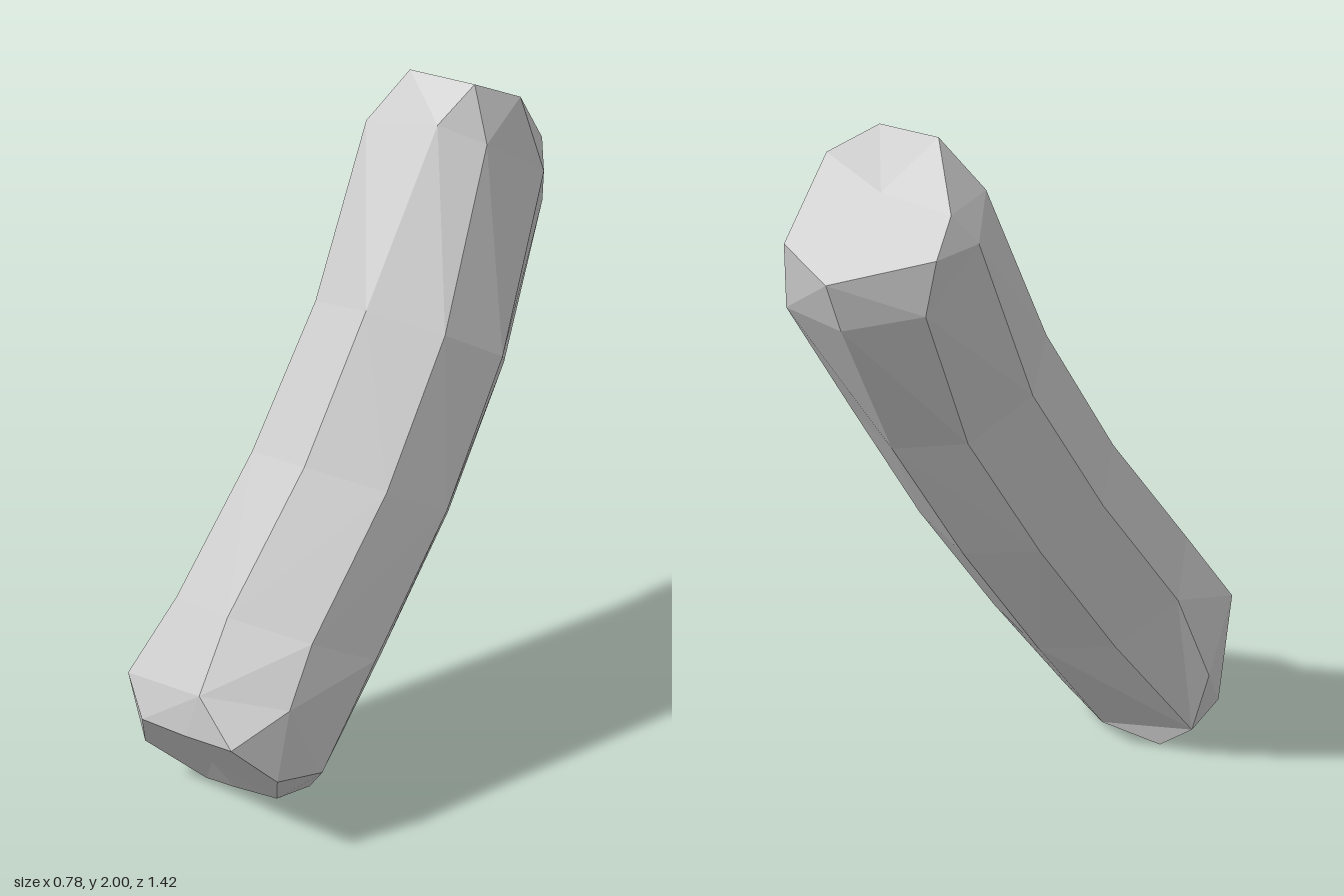
import * as THREE from 'three';

const SIDES = 8;

// Octagonal cross-section of the leaning bar: s runs up its length, n points out of its front
function ring({ s, x, n, rx, rn }) {
  return Array.from({ length: SIDES }, (_, k) => {
    const a = (k / SIDES) * Math.PI * 2;
    const out = n + Math.sin(a) * rn;
    return [x + Math.cos(a) * rx, 0.54 * out + 0.84 * s, 0.84 * out - 0.54 * s];
  });
}

const centroid = (pts) => [0, 1, 2].map((i) => pts.reduce((t, p) => t + p[i], 0) / pts.length);

// Distance from a point to the middle of an edge
const reach = (from, p, q) => Math.hypot(...from.map((v, i) => (p[i] + q[i]) / 2 - v));

export function createModel() {
  const group = new THREE.Group();
  group.name = 'curvedStone';
  const stone = new THREE.MeshStandardMaterial({ color: 0xcccccc, flatShading: true });
  stone.name = 'pale grey stone';

  // Rough-cut outlines of the two ends, each with the shoulder behind its chamfer
  const lowerEnd = [
    [0.18, 0.28, 0.61], [0.1, 0.41, 0.71], [-0.07, 0.385, 0.69], [-0.24, 0.36, 0.66],
    [-0.36, 0.15, 0.5], [-0.23, 0, 0.385], [-0.08, 0.065, 0.45], [0.08, 0.1, 0.47],
  ];
  const lowerShoulder = [
    [0.235, 0.25, 0.47], [0.2, 0.5, 0.575], [-0.02, 0.53, 0.685], [-0.33, 0.45, 0.6],
    [-0.39, 0.28, 0.4], [-0.355, 0.1, 0.37], [-0.03, 0.02, 0.36], [0.125, 0.1, 0.37],
  ];
  const upperShoulder = [
    [0.325, 1.72, -0.52], [0.26, 1.85, -0.31], [0.14, 1.9, -0.25], [-0.1, 1.86, -0.27],
    [-0.2, 1.77, -0.42], [-0.14, 1.6, -0.56], [0.05, 1.55, -0.67], [0.25, 1.57, -0.66],
  ];
  const upperEnd = [
    [0.27, 1.94, -0.47], [0.2, 2, -0.34], [0.1, 2, -0.345], [-0.01, 2, -0.35],
    [-0.16, 1.85, -0.48], [-0.17, 1.75, -0.55], [0.06, 1.68, -0.71], [0.23, 1.75, -0.68],
  ];

  // Sections along the bent body
  const rings = [
    lowerEnd,
    lowerShoulder,
    ring({ s: 0.3, x: -0.02, n: 0.55, rx: 0.32, rn: 0.293 }),
    ring({ s: 0.75, x: 0.05, n: 0.526, rx: 0.312, rn: 0.28 }),
    ring({ s: 1.2, x: 0.095, n: 0.533, rx: 0.295, rn: 0.281 }),
    upperShoulder,
    upperEnd,
  ];

  const body = [];
  for (let i = 0; i < rings.length - 1; i++) {
    const core = centroid([...rings[i], ...rings[i + 1]]);
    for (let k = 0; k < SIDES; k++) {
      const j = (k + 1) % SIDES;
      const [a, b, c, d] = [rings[i][k], rings[i + 1][k], rings[i + 1][j], rings[i][j]];
      // Split each facet along its outer diagonal so it bulges rather than dents
      if (reach(core, a, c) > reach(core, b, d)) body.push(a, b, c, a, c, d);
      else body.push(a, b, d, b, c, d);
    }
  }

  // Triangle fan closing an end
  const cap = (outline) => {
    const mid = centroid(outline);
    return outline.flatMap((p, k) => [mid, p, outline[(k + 1) % SIDES]]);
  };

  const addPart = (name, corners) => {
    const geometry = new THREE.BufferGeometry();
    geometry.setAttribute('position', new THREE.Float32BufferAttribute(corners.flat(), 3));
    geometry.computeVertexNormals();
    const mesh = new THREE.Mesh(geometry, stone);
    mesh.name = name;
    group.add(mesh);
  };
  addPart('body', body);
  addPart('lowerFace', cap(lowerEnd));
  addPart('upperFace', cap([...upperEnd].reverse()));
  return group;
}
